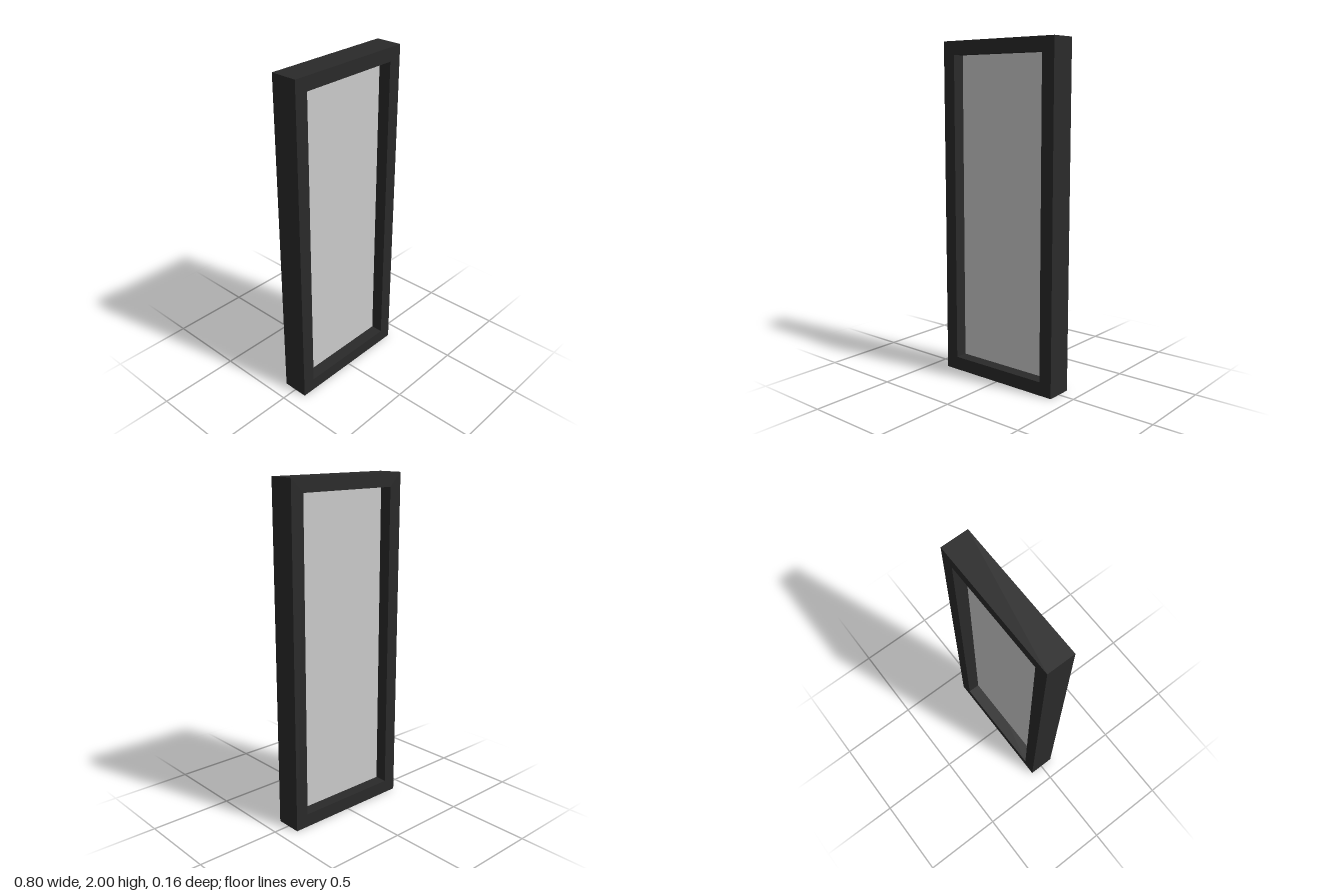
import * as THREE from 'three';

const WIDTH = 0.8, HEIGHT = 2, DEPTH = 0.16, BORDER = 0.08, PANE = 0.01;

// Rectangle outline centred on x = 0, inset from the outer edge
function rectangle(path, inset) {
  const x = WIDTH / 2 - inset;
  path.moveTo(-x, inset);
  path.lineTo(x, inset);
  path.lineTo(x, HEIGHT - inset);
  path.lineTo(-x, HEIGHT - inset);
  path.closePath();
  return path;
}

export function createModel() {
  const model = new THREE.Group();
  model.name = 'window';

  // Rectangular frame with a through opening
  const outline = rectangle(new THREE.Shape(), 0);
  outline.holes.push(rectangle(new THREE.Path(), BORDER));
  const frameGeometry = new THREE.ExtrudeGeometry(outline, { depth: DEPTH, bevelEnabled: false });
  frameGeometry.translate(0, 0, -DEPTH / 2);
  const frame = new THREE.Mesh(frameGeometry, new THREE.MeshStandardMaterial({ color: 0x2a2a2a }));
  frame.name = 'frame';
  model.add(frame);

  // Thin pane set midway through the frame
  const pane = new THREE.Mesh(
    new THREE.BoxGeometry(WIDTH - 2 * BORDER, HEIGHT - 2 * BORDER, PANE),
    new THREE.MeshStandardMaterial({ color: 0xcccccc })
  );
  pane.position.y = HEIGHT / 2;
  pane.name = 'glassPane';
  model.add(pane);

  return model;
}
